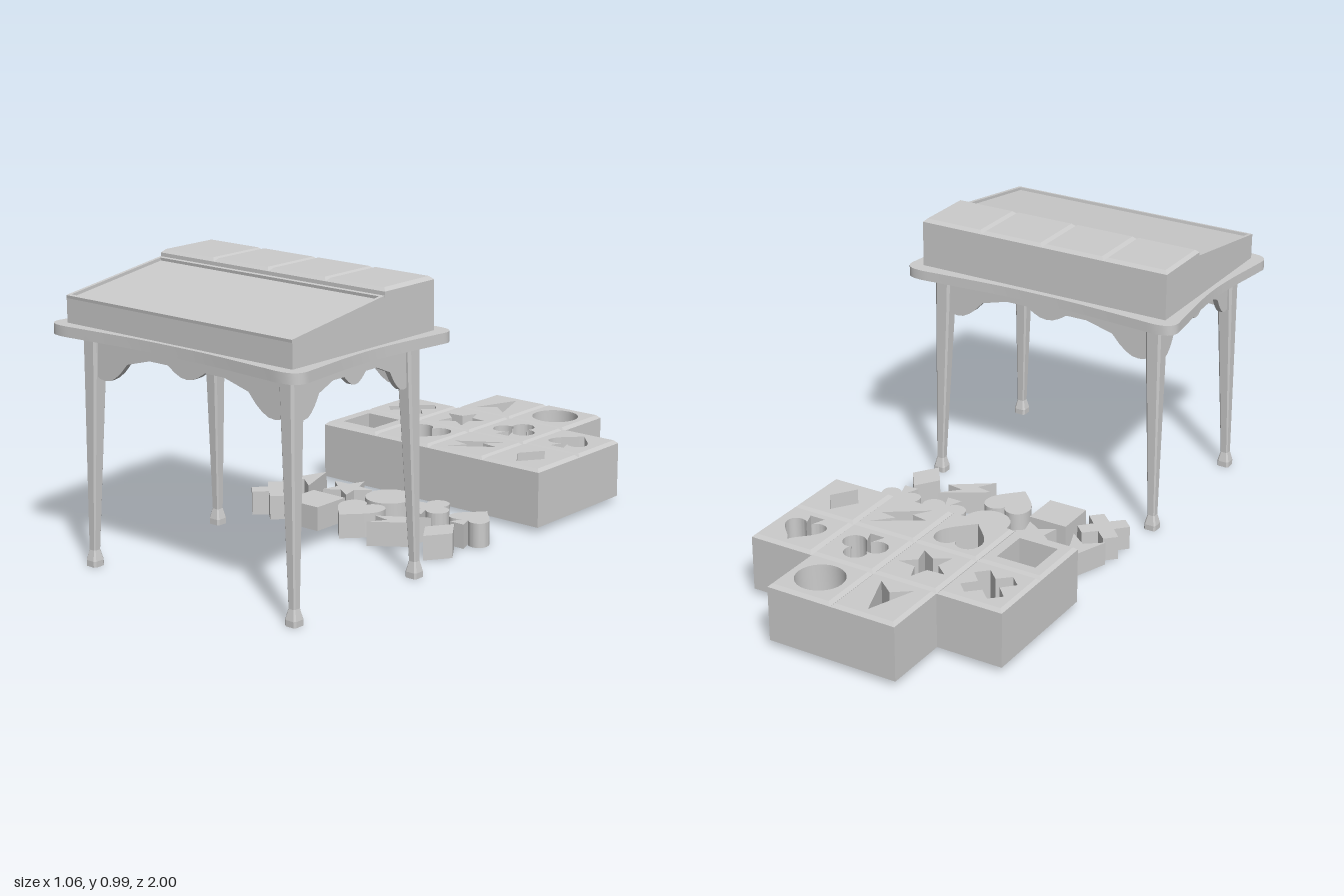
import * as THREE from 'three';
import { toCreasedNormals } from 'three/addons/utils/BufferGeometryUtils.js';

const smooth = new THREE.MeshStandardMaterial({ color: 0xcccccc });
const flat = new THREE.MeshStandardMaterial({ color: 0xcccccc, flatShading: true });
const thin = new THREE.MeshStandardMaterial({ color: 0xcccccc, side: THREE.DoubleSide });
const CELL = 0.24, DESK_Z = 0.622;

function add(parent, name, geometry, material, x = 0, y = 0, z = 0) {
  const mesh = new THREE.Mesh(geometry, material);
  mesh.name = name;
  mesh.position.set(x, y, z);
  parent.add(mesh);
  return mesh;
}
const poly = (pts) => new THREE.Shape(pts.map(([x, y]) => new THREE.Vector2(x, y)));
const rect = (w, h, y = 0) => poly([[-w, y - h], [w, y - h], [w, y + h], [-w, y + h]]);
const extrude = (shape, depth) =>
  toCreasedNormals(new THREE.ExtrudeGeometry(shape, { depth, bevelEnabled: false, curveSegments: 14 }), 0.5);
const slab = (shape, height) => extrude(shape, height).rotateX(-Math.PI / 2);

// Square frustum, aligned with the axes, standing on its base
function frustum(bottom, top, height, open) {
  return new THREE.CylinderGeometry(top * Math.SQRT1_2, bottom * Math.SQRT1_2, height, 4, 1, open, Math.PI / 4)
    .toNonIndexed().translate(0, height / 2, 0);
}
function flatten(geometry) {
  geometry.computeVertexNormals();
  return geometry;
}

// Outlines of the sorting shapes
function makeOutlines() {
  const circle = new THREE.Shape().absarc(0, 0, 0.084, 0, Math.PI * 2);
  const star = poly(Array.from({ length: 10 }, (_, i) => {
    const a = Math.PI / 2 + i * Math.PI / 5, r = i % 2 ? 0.04 : 0.09;
    return [r * Math.cos(a), r * Math.sin(a) - 0.008];
  }));
  const cross = [];
  for (let i = 0; i < 4; i++) {
    const c = Math.round(Math.cos(i * Math.PI / 2)), s = Math.round(Math.sin(i * Math.PI / 2));
    for (const [x, y] of [[0.04, 0], [0.08, 0.042], [0.042, 0.08]]) cross.push([x * c - y * s, x * s + y * c]);
  }
  const club = new THREE.Shape();
  club.moveTo(-0.028, -0.085);
  club.lineTo(0.028, -0.085);
  club.lineTo(0.008, -0.035);
  club.absarc(0.043, -0.015, 0.04, -2.6, 1.9);
  club.absarc(0, 0.043, 0.04, -0.6, Math.PI + 0.6);
  club.absarc(-0.043, -0.015, 0.04, Math.PI - 1.9, Math.PI + 2.6);
  club.lineTo(-0.008, -0.035);
  const spade = new THREE.Shape();
  spade.moveTo(0, 0.085);
  spade.bezierCurveTo(-0.02, 0.05, -0.075, 0.02, -0.075, -0.02);
  spade.bezierCurveTo(-0.075, -0.06, -0.02, -0.06, -0.01, -0.035);
  spade.lineTo(-0.028, -0.085);
  spade.lineTo(0.028, -0.085);
  spade.lineTo(0.01, -0.035);
  spade.bezierCurveTo(0.02, -0.06, 0.075, -0.06, 0.075, -0.02);
  spade.bezierCurveTo(0.075, 0.02, 0.02, 0.05, 0, 0.085);
  const heart = new THREE.Shape();
  heart.moveTo(0, -0.085);
  heart.bezierCurveTo(0.03, -0.05, 0.086, -0.01, 0.086, 0.035);
  heart.bezierCurveTo(0.086, 0.1, 0.01, 0.1, 0, 0.055);
  heart.bezierCurveTo(-0.01, 0.1, -0.086, 0.1, -0.086, 0.035);
  heart.bezierCurveTo(-0.086, -0.01, -0.03, -0.05, 0, -0.085);
  return {
    circle, star, club, spade, heart,
    cross: poly(cross),
    arrow: poly([[0, 0.085], [-0.062, -0.083], [0, -0.035], [0.062, -0.083]]),
    square: rect(0.072, 0.072),
    bolt: poly([[0.08, 0.085], [-0.08, -0.015], [-0.02, -0.026], [-0.06, -0.085], [0.08, 0.012], [0.018, 0.02]]),
    diamond: poly([[0, 0.083], [-0.058, 0], [0, -0.083], [0.058, 0]]),
  };
}

// Upright wall that follows an outline from y0 to y1
function outlineWall(shape, y0, y1) {
  const pts = shape.getPoints(14);
  const n = pts.length;
  const geo = new THREE.PlaneGeometry(1, 1, n, 1), p = geo.attributes.position;
  for (let i = 0; i < p.count; i++) {
    const q = pts[(i % (n + 1)) % n];
    p.setXYZ(i, q.x, i > n ? y0 : y1, -q.y);
  }
  return toCreasedNormals(geo, 0.5);
}

// Tapered, chamfered leg with a flared foot; sections are [y, distance from centre, half width]
function legGeometry(sx, sz) {
  const sections = [[0.785, 0.42, 0.03], [0.65, 0.4225, 0.0275], [0.055, 0.4365, 0.014],
    [0.02, 0.4365, 0.0225], [0, 0.4365, 0.0225]];
  const n = sections.length - 1;
  const geo = new THREE.CylinderGeometry(1, 1, 1, 8, n, false, Math.PI / 8), p = geo.attributes.position;
  const square = (v) => (Math.abs(v) < 0.01 ? 0 : Math.sign(v) * (Math.abs(v) > 0.8 ? 1 : 0.72));
  for (let i = 0; i < p.count; i++) {
    const [y, d, h] = sections[Math.round((0.5 - p.getY(i)) * n)];
    p.setXYZ(i, sx * d + h * square(p.getX(i)), y, DESK_Z + sz * (d - 0.147) + h * square(p.getZ(i)));
  }
  return geo;
}

// Scalloped apron board, symmetric about its middle
function apronGeometry(scale, halfWidth) {
  const half = [[0.385, 0.637], [0.365, 0.634], [0.34, 0.637], [0.315, 0.65], [0.29, 0.67], [0.26, 0.703],
    [0.16, 0.73], [0.08, 0.73], [0.05, 0.711], [0.025, 0.7]].map(([x, y]) => [x * scale, y]);
  const left = half.map(([x, y]) => [-x, y]);
  return extrude(poly([[-halfWidth, 0.785], [-halfWidth, 0.648], ...left, [0, 0.697],
    ...half.reverse(), [halfWidth, 0.648], [halfWidth, 0.785]]), 0.02).translate(0, 0, -0.01);
}

function makeDesk() {
  const desk = new THREE.Group();
  desk.name = 'desk';

  // Table top with rounded corners and hollowed edges
  const quarter = [[0.15, 0.354], [0.39, 0.371], [0.47, 0.376], [0.51, 0.366], [0.528, 0.34], [0.525, 0.29], [0.506, 0.12]];
  const flip = (sx, sy) => quarter.map(([x, y]) => [sx * x, sy * y]);
  const loop = [[0, 0.352], ...flip(1, 1), [0.5, 0], ...flip(1, -1).reverse(), [0, -0.352],
    ...flip(-1, -1), [-0.5, 0], ...flip(-1, 1).reverse()].map(([x, y]) => new THREE.Vector3(x, y, 0));
  const rim = new THREE.CatmullRomCurve3(loop, true).getPoints(120).slice(0, -1);
  add(desk, 'tableTop', slab(poly(rim.map((v) => [v.x, v.y])), 0.035), smooth, 0, 0.78, DESK_Z);

  // Sloping desk box
  const profile = poly([[0.957, 0.81], [0.957, 0.895], [0.535, 0.956], [0.535, 0.978], [0.294, 0.978], [0.294, 0.81]]);
  add(desk, 'deskBox', extrude(profile, 0.96).rotateY(-Math.PI / 2), smooth, 0.48);

  // Raised border around the writing panel
  const tilt = Math.atan2(0.061, 0.422), length = Math.hypot(0.061, 0.422);
  const border = rect(0.48, length / 2, length / 2);
  border.holes.push(rect(0.468, length / 2 - 0.012, length / 2));
  add(desk, 'panelBorder', extrude(border, 0.01).rotateX(-Math.PI / 2 + tilt), smooth, 0, 0.895, 0.957);

  // Row of bevelled tiles along the back
  for (let i = 0; i < 4; i++) {
    add(desk, 'backTile', flatten(frustum(CELL, CELL - 0.024, 0.011, false)), flat, (i - 1.5) * CELL, 0.978, 0.4145);
  }

  // Legs and aprons
  for (const s of [-1, 1]) {
    for (const t of [-1, 1]) add(desk, 'leg', legGeometry(s, t), flat);
    add(desk, 'longApron', apronGeometry(1, 0.41), smooth, 0, 0, DESK_Z + s * 0.28);
    add(desk, 'sideApron', apronGeometry(0.64, 0.265), smooth, s * 0.425, 0, DESK_Z).rotation.y = Math.PI / 2;
  }
  return desk;
}

// Open-bottomed sorter cell with a shaped opening
function makeCell(shape) {
  const cell = new THREE.Group();
  cell.name = 'sorterCell';
  add(cell, 'cellWalls', flatten(frustum(CELL, CELL, 0.195, true)), thin, 0, 0.02);
  add(cell, 'cellBevel', flatten(frustum(CELL, CELL - 0.024, 0.011, true)), thin, 0, 0.215);
  const lid = rect(CELL / 2 - 0.012, CELL / 2 - 0.012);
  lid.holes.push(new THREE.Path(shape.getPoints(14)));
  add(cell, 'cellLid', slab(lid, 0.01), smooth, 0, 0.216);
  add(cell, 'openingWall', outlineWall(shape, 0.1, 0.22), thin);
  return cell;
}

export function createModel() {
  const model = new THREE.Group();
  model.name = 'deskAndShapeSorter';
  const outlines = makeOutlines();
  model.add(makeDesk());

  // Sorter tray
  const tray = new THREE.Group();
  tray.name = 'sorterTray';
  [['square', 'heart', 'bolt', 'diamond'], ['cross', 'star', 'club', 'spade'], ['arrow', 'circle']].forEach((row, r) =>
    row.forEach((key, i) => {
      const cell = makeCell(outlines[key]);
      cell.position.set((i - (row.length - 1) / 2) * CELL, 0, -0.402 - r * CELL);
      tray.add(cell);
    }));
  model.add(tray);

  // Loose pieces
  const pieces = new THREE.Group();
  pieces.name = 'loosePieces';
  [['arrow', 'star', 'circle', 'club', 'spade'], ['cross', 'square', 'heart', 'bolt', 'diamond']].forEach((row, r) =>
    row.forEach((key, i) => {
      add(pieces, key + 'Piece', slab(outlines[key], 0.085), smooth, (i - 2) * 0.181, 0.002, r ? 0.112 : -0.07);
    }));
  model.add(pieces);
  return model;
}
